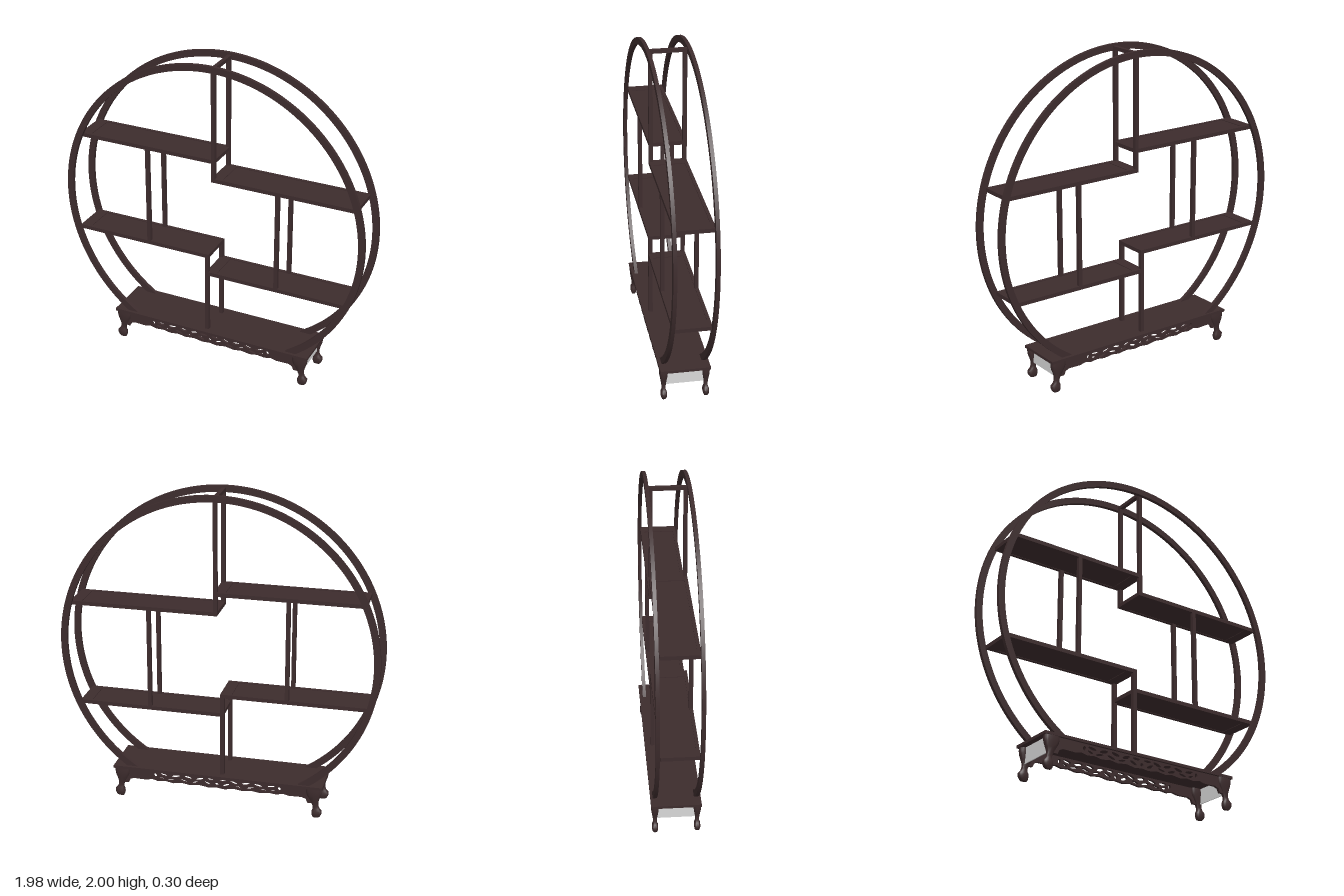
import * as THREE from 'three';
import { toCreasedNormals } from 'three/addons/utils/BufferGeometryUtils.js';

const wood = new THREE.MeshStandardMaterial({ color: 0x3d2c2d });
wood.name = 'dark wood';
const pale = new THREE.MeshStandardMaterial({ color: 0xd8d8d8, side: THREE.DoubleSide });
pale.name = 'pale end panel';

function add(parent, name, geometry, material = wood) {
  const mesh = new THREE.Mesh(geometry, material);
  mesh.name = name;
  parent.add(mesh);
  return mesh;
}

// Box given by its limits on each axis
function box(parent, name, x0, x1, y0, y1, z0, z1, material) {
  const mesh = add(parent, name, new THREE.BoxGeometry(x1 - x0, y1 - y0, z1 - z0), material);
  mesh.position.set((x0 + x1) / 2, (y0 + y1) / 2, (z0 + z1) / 2);
  return mesh;
}

// Round frame, cut flat where it meets the stand
function ringGeometry(depth) {
  const cy = 1.01, outer = 0.99, inner = 0.95, drop = cy - 0.2;
  const a = Math.asin(drop / outer), b = Math.asin(drop / inner);
  const shape = new THREE.Shape();
  shape.absarc(0, cy, outer, -a, Math.PI + a, false);
  shape.absarc(0, cy, inner, Math.PI + b, -b, true);
  const geo = new THREE.ExtrudeGeometry(shape, { depth, bevelEnabled: false, curveSegments: 96 });
  geo.translate(0, 0, -depth / 2);
  return toCreasedNormals(geo, 0.5);
}

// Shelf: four rails around a slightly sunken panel
function shelf(parent, name, x0, x1, y0, y1) {
  const g = new THREE.Group();
  g.name = name;
  parent.add(g);
  const z = 0.114, rail = 0.02, end = 0.07;
  for (const s of [-1, 1]) {
    const zc = s * (z - rail / 2);
    box(g, 'shelfRail', x0, x1, y0, y1, zc - rail / 2, zc + rail / 2);
  }
  box(g, 'shelfEnd', x0, x0 + end, y0, y1, -z + rail, z - rail);
  box(g, 'shelfEnd', x1 - end, x1, y0, y1, -z + rail, z - rail);
  box(g, 'shelfPanel', x0 + end, x1 - end, y0 + 0.003, y1 - 0.004, -z + rail, z - rail);
}

// Pair of posts, front and back
function posts(parent, name, x0, x1, y0, y1) {
  box(parent, name + 'Front', x0, x1, y0, y1, 0.09, 0.114);
  box(parent, name + 'Back', x0, x1, y0, y1, -0.114, -0.09);
}

// Curved leg lofted through rounded square sections: y, centre x, half width, half depth
function legGeometry() {
  const rows = [
    [0.197, 0.612, 0.048, 0.022], [0.175, 0.613, 0.049, 0.023], [0.15, 0.614, 0.044, 0.022],
    [0.125, 0.617, 0.032, 0.018], [0.1, 0.62, 0.022, 0.014], [0.075, 0.626, 0.018, 0.011],
    [0.058, 0.63, 0.021, 0.013], [0.043, 0.634, 0.031, 0.019], [0.025, 0.633, 0.031, 0.019],
    [0.01, 0.631, 0.026, 0.016], [0, 0.629, 0.019, 0.012],
  ];
  const n = rows.length - 1;
  const geo = new THREE.CylinderGeometry(1, 1, 1, 16, n);
  const p = geo.attributes.position;
  const soft = (v) => Math.sign(v) * Math.pow(Math.abs(v), 0.6);
  for (let i = 0; i < p.count; i++) {
    const [y, cx, hx, hz] = rows[Math.round((0.5 - p.getY(i)) * n)];
    p.setXYZ(i, cx + soft(p.getX(i)) * hx, y, soft(p.getZ(i)) * hz);
  }
  return toCreasedNormals(geo, 0.9);
}

// Pierced apron with a scalloped lower edge
function apronGeometry() {
  const half = [
    [0.6, 0.095], [0.575, 0.095], [0.565, 0.12], [0.54, 0.13], [0.46, 0.128], [0.42, 0.137],
    [0.38, 0.127], [0.33, 0.133], [0.28, 0.124], [0.22, 0.132], [0.17, 0.124], [0.11, 0.132],
    [0.05, 0.122],
  ];
  const edge = [[0.6, 0.197], ...half, [0, 0.128],
    ...half.map(([x, y]) => [-x, y]).reverse(), [-0.6, 0.197]];
  const shape = new THREE.Shape(edge.map(([x, y]) => new THREE.Vector2(x, y)).reverse());
  const hole = (x, y, rx, ry, turn) => {
    const path = new THREE.Path();
    path.absellipse(x, y, rx, ry, 0, Math.PI * 2, true, turn);
    shape.holes.push(path);
  };
  // Leaf openings: x, y, radii, turn
  const leaves = [
    [0.04, 0.178, 0.025, 0.007, 0], [0.11, 0.172, 0.028, 0.009, -0.3],
    [0.185, 0.174, 0.028, 0.009, 0.2], [0.265, 0.172, 0.03, 0.009, -0.2],
    [0.345, 0.174, 0.028, 0.008, 0.15], [0.398, 0.165, 0.01, 0.014, 0],
    [0.06, 0.15, 0.025, 0.008, 0.4], [0.14, 0.146, 0.025, 0.006, -0.2],
    [0.215, 0.149, 0.028, 0.007, 0.25], [0.295, 0.147, 0.026, 0.006, -0.2],
    [0.358, 0.15, 0.018, 0.006, 0.3],
  ];
  for (const [x, y, rx, ry, turn] of leaves) {
    hole(x, y, rx, ry, turn);
    hole(-x, y, rx, ry, -turn);
  }
  hole(0, 0.15, 0.012, 0.01, 0);
  const geo = new THREE.ExtrudeGeometry(shape, { depth: 0.016, bevelEnabled: false, curveSegments: 8 });
  geo.translate(0, 0, -0.008);
  return geo;
}

export function createModel() {
  const model = new THREE.Group();
  model.name = 'roundDisplayShelf';

  // Two round frames; the back one sits very slightly askew
  const ring = ringGeometry(0.022);
  add(model, 'frontRing', ring).position.z = 0.122;
  const back = add(model, 'backRing', ring);
  back.position.z = -0.124;
  back.rotation.y = -0.006;

  // Stepped shelves
  shelf(model, 'upperLeftShelf', -0.89, 0.025, 1.38, 1.404);
  shelf(model, 'upperRightShelf', 0.003, 0.925, 1.257, 1.281);
  shelf(model, 'middleLeftShelf', -0.92, -0.017, 0.729, 0.753);
  shelf(model, 'lowerRightShelf', -0.035, 0.88, 0.605, 0.629);

  // Posts between the shelves
  posts(model, 'topPost', 0.003, 0.027, 1.257, 1.985);
  posts(model, 'leftPost', -0.441, -0.417, 0.74, 1.39);
  posts(model, 'rightPost', 0.419, 0.443, 0.615, 1.265);
  posts(model, 'bottomPost', -0.041, -0.017, 0.2, 0.753);
  box(model, 'topCrossBar', 0.003, 0.027, 1.966, 1.988, -0.114, 0.114);

  // Stand
  const stand = new THREE.Group();
  stand.name = 'stand';
  model.add(stand);
  box(stand, 'standTop', -0.668, 0.668, 0.194, 0.211, -0.152, 0.152);
  const leg = legGeometry(), apron = apronGeometry();
  for (const s of [-1, 1]) {
    add(stand, 'apron', apron).position.z = s * 0.13;
    box(stand, 'endPanel', s * 0.63 - 0.003, s * 0.63 + 0.003, 0.098, 0.195, -0.115, 0.115, pale);
    for (const t of [-1, 1]) {
      const mesh = add(stand, 'leg', leg);
      mesh.rotation.y = s > 0 ? 0 : Math.PI;
      mesh.position.z = t * 0.128;
    }
  }
  return model;
}
